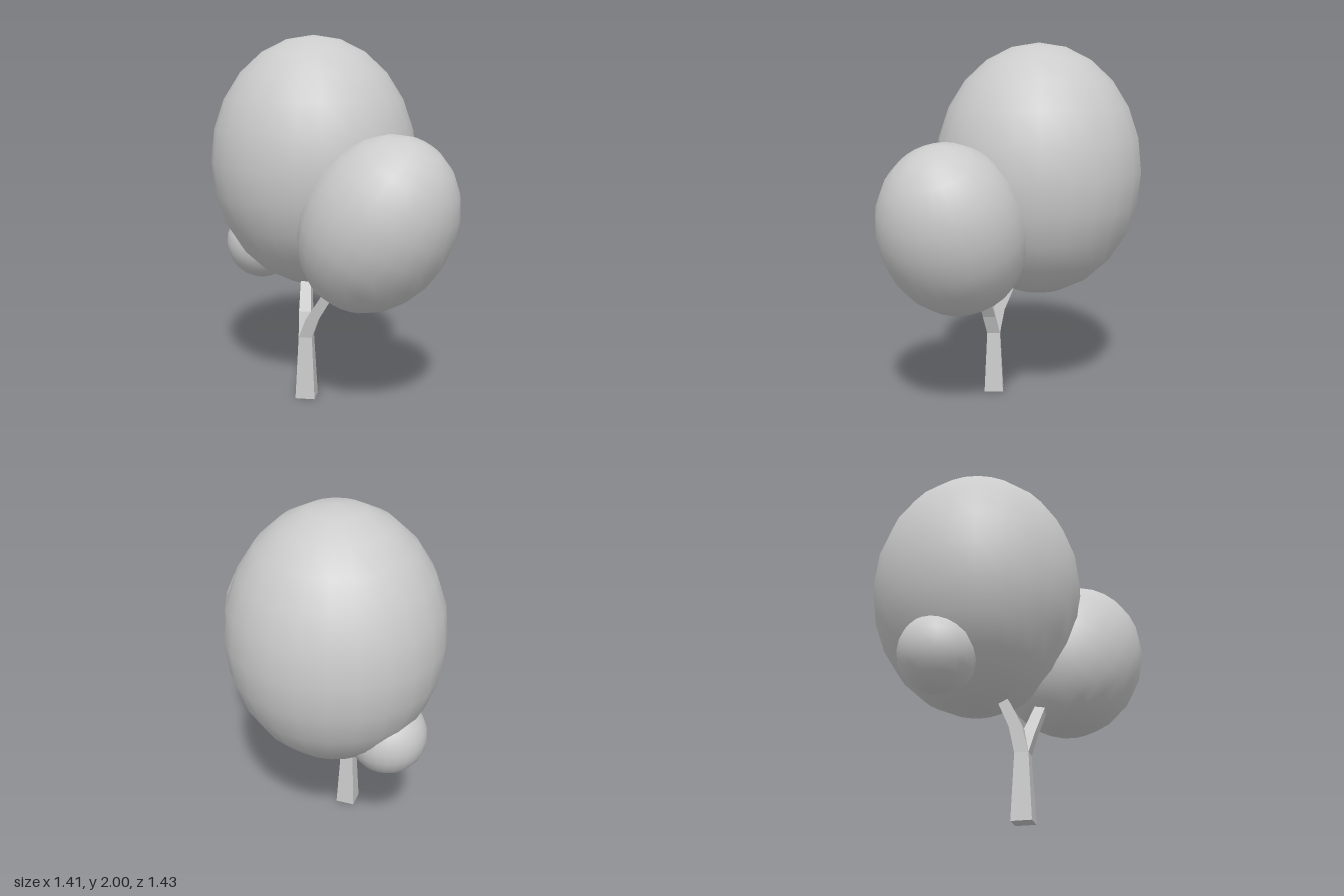
import * as THREE from 'three';

const leafMaterial = new THREE.MeshStandardMaterial({ color: 0xcccccc });
const woodMaterial = new THREE.MeshStandardMaterial({ color: 0xcccccc, flatShading: true });

// Ellipsoid of foliage whose long axis points along `axis`
function foliage(name, center, radius, halfLength, axis = [0, 1, 0]) {
  const mesh = new THREE.Mesh(new THREE.SphereGeometry(1, 24, 12), leafMaterial);
  mesh.name = name;
  mesh.scale.set(radius, halfLength, radius);
  mesh.quaternion.setFromUnitVectors(
    new THREE.Vector3(0, 1, 0), new THREE.Vector3(...axis).normalize());
  mesh.position.set(...center);
  return mesh;
}

// Square limb through level sections [x, y, z, halfWidth], listed upwards
function limb(name, sections) {
  const corners = [[-1, 1], [1, 1], [1, -1], [-1, -1]];
  const positions = [];
  const index = [];
  for (const [x, y, z, h] of sections) {
    for (const [cx, cz] of corners) positions.push(x + cx * h, y, z + cz * h);
  }
  for (let s = 0; s < sections.length - 1; s++) {
    for (let i = 0; i < 4; i++) {
      const a = s * 4 + i, b = s * 4 + (i + 1) % 4;
      index.push(a, b, b + 4, a, b + 4, a + 4);
    }
  }
  const t = (sections.length - 1) * 4;
  index.push(0, 2, 1, 0, 3, 2, t, t + 1, t + 2, t, t + 2, t + 3);
  const geometry = new THREE.BufferGeometry();
  geometry.setAttribute('position', new THREE.Float32BufferAttribute(positions, 3));
  geometry.setIndex(index);
  const flat = geometry.toNonIndexed();
  flat.computeVertexNormals();
  const mesh = new THREE.Mesh(flat, woodMaterial);
  mesh.name = name;
  return mesh;
}

export function createModel() {
  const tree = new THREE.Group();
  tree.name = 'tree';

  // Trunk and the two branches of its fork
  tree.add(
    limb('trunk', [[-0.132, 0, 0.115, 0.054], [-0.132, 0.35, 0.115, 0.037]]),
    limb('frontBranch', [
      [-0.132, 0.35, 0.115, 0.037], [-0.09, 0.46, 0.14, 0.035],
      [0.01, 0.62, 0.172, 0.031], [0.06, 0.7, 0.19, 0.029]]),
    limb('backBranch', [
      [-0.132, 0.35, 0.115, 0.037], [-0.138, 0.49, 0.085, 0.034],
      [-0.145, 0.63, 0.022, 0.03], [-0.148, 0.7, -0.01, 0.028]]));

  // Foliage
  tree.add(
    foliage('mainCrown', [-0.13, 1.3, -0.14], 0.578, 0.7),
    foliage('frontCrown', [0.282, 1.025, 0.315], 0.396, 0.495, [0.49, 0.85, 0.185]),
    foliage('smallCrown', [-0.46, 0.805, -0.245], 0.21, 0.21));
  return tree;
}
